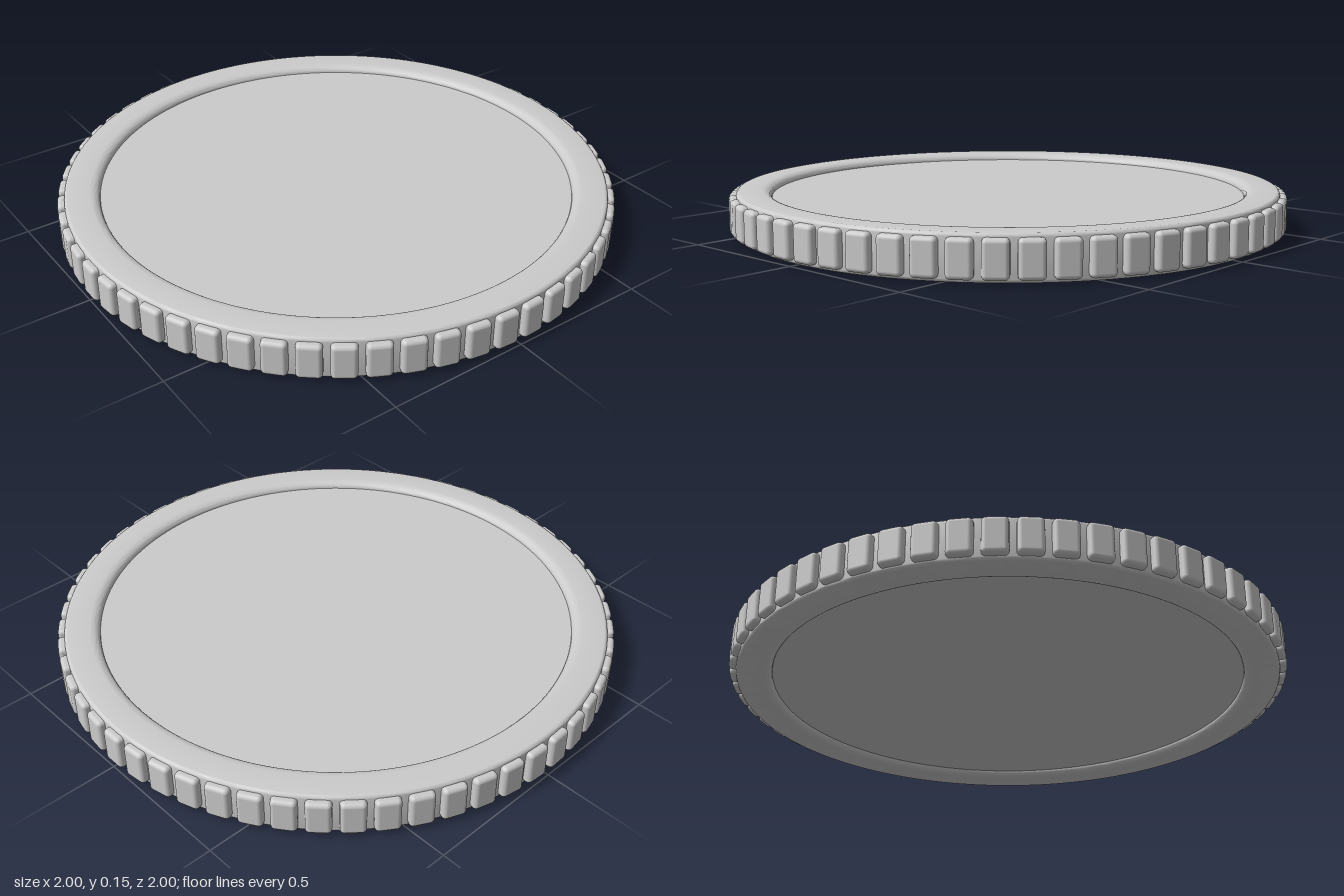
import * as THREE from 'three';
import { toCreasedNormals } from 'three/addons/utils/BufferGeometryUtils.js';
import { RoundedBoxGeometry } from 'three/addons/geometries/RoundedBoxGeometry.js';

const HEIGHT = 0.15;
const BODY_RADIUS = 0.975;
const RECESS_RADIUS = 0.85;
const RECESS_DEPTH = 0.025;
const RIDGES = 58;

export function createModel() {
  const model = new THREE.Group();
  const material = new THREE.MeshStandardMaterial({ color: 0xcccccc });

  // Lower half of the profile: recessed floor, rounded lip, flat rim, rounded edge
  const half = [[0, RECESS_DEPTH]];
  for (let i = 0; i <= 8; i++) {
    const a = (i / 8) * Math.PI / 2;
    half.push([RECESS_RADIUS + 0.035 * (1 - Math.cos(a)), RECESS_DEPTH * (1 - Math.sin(a))]);
  }
  for (let i = 0; i <= 4; i++) {
    const a = (i / 4) * Math.PI / 2;
    half.push([BODY_RADIUS - 0.012 * (1 - Math.sin(a)), 0.012 * (1 - Math.cos(a))]);
  }

  // Disc body, the same on both faces
  const mirrored = half.map(([r, y]) => [r, HEIGHT - y]).reverse();
  const profile = [...half, ...mirrored].map(([r, y]) => new THREE.Vector2(r, y));
  const disc = new THREE.Mesh(
    toCreasedNormals(new THREE.LatheGeometry(profile, 160), THREE.MathUtils.degToRad(40)),
    material
  );
  disc.name = 'disc';
  model.add(disc);

  // Rounded grip ridges around the edge
  const ridges = new THREE.Group();
  ridges.name = 'edgeRidges';
  const ridgeGeometry = new RoundedBoxGeometry(0.084, 0.126, 0.05, 3, 0.015);
  ridgeGeometry.translate(0, HEIGHT / 2, 1 - 0.025);
  for (let i = 0; i < RIDGES; i++) {
    const ridge = new THREE.Mesh(ridgeGeometry, material);
    ridge.name = 'ridge';
    ridge.rotation.y = ((i + 0.5) / RIDGES) * Math.PI * 2;
    ridges.add(ridge);
  }
  model.add(ridges);

  return model;
}
